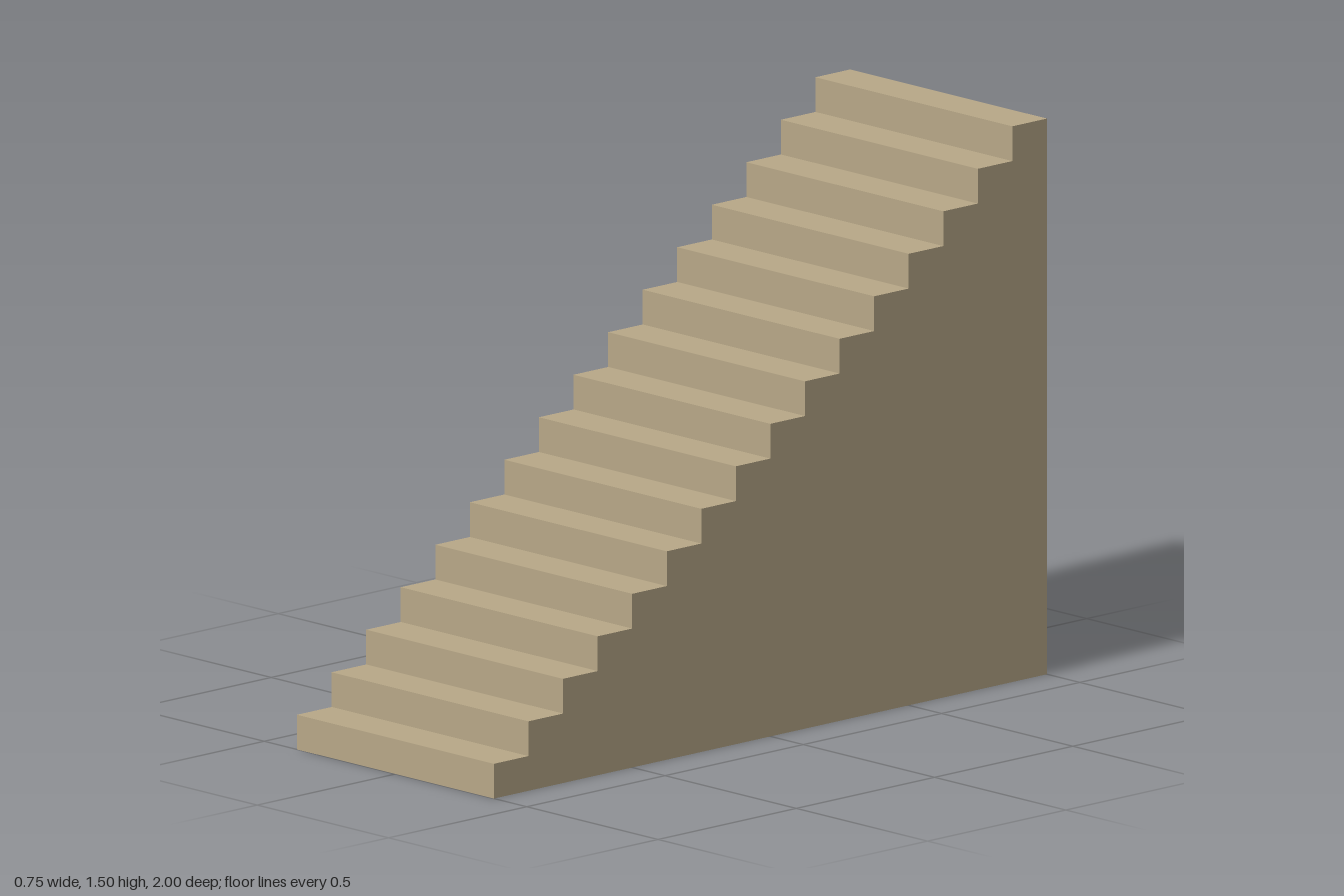
import * as THREE from 'three';

const STEPS = 16, WIDTH = 0.75, HEIGHT = 1.5, DEPTH = 2;

export function createModel() {
  const group = new THREE.Group();
  group.name = 'staircase';

  const sandstone = new THREE.MeshStandardMaterial({ color: 0xb8a888 });
  sandstone.name = 'sandstone';

  // Stepped side profile: shape x runs along depth, y is up
  const rise = HEIGHT / STEPS, run = DEPTH / STEPS;
  const profile = new THREE.Shape();
  profile.moveTo(-DEPTH / 2, 0);
  for (let i = 0; i < STEPS; i++) {
    const z = DEPTH / 2 - i * run;
    profile.lineTo(z, i * rise);
    profile.lineTo(z, (i + 1) * rise);
  }
  profile.lineTo(-DEPTH / 2, HEIGHT);
  profile.closePath();

  // Solid flight of steps, extruded across the width
  const geometry = new THREE.ExtrudeGeometry(profile, { depth: WIDTH, bevelEnabled: false });
  geometry.translate(0, 0, -WIDTH / 2);
  geometry.rotateY(-Math.PI / 2);

  const steps = new THREE.Mesh(geometry, sandstone);
  steps.name = 'solidSteps';
  group.add(steps);
  return group;
}
